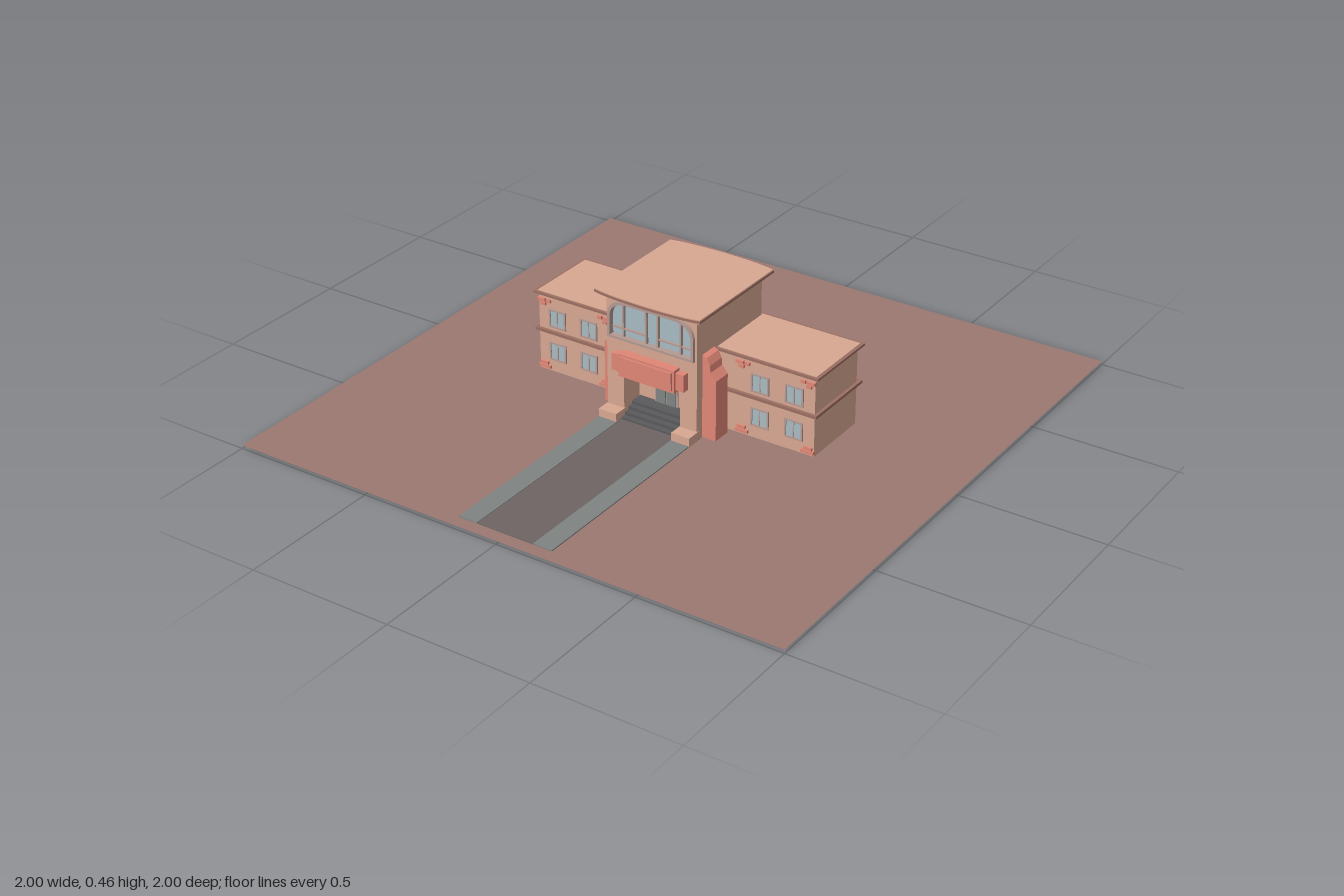
import * as THREE from 'three';

const mat = (color) => new THREE.MeshStandardMaterial({ color });
const M = {
  ground: mat(0x9a7871), wall: mat(0xd8a792), trim: mat(0x9c6f62), red: mat(0xe08676),
  glass: mat(0xa6bac2), frame: mat(0xb49a92), stone: mat(0x7f8482), road: mat(0x6d6463), step: mat(0x5a5a5c),
};

export function createModel() {
  const root = new THREE.Group();

  const add = (name, geo, material, parent = root) => {
    const m = new THREE.Mesh(geo, material);
    m.name = name;
    parent.add(m);
    return m;
  };
  // box given by its min and max on each axis
  const box = (name, x0, x1, y0, y1, z0, z1, material, parent) => {
    const m = add(name, new THREE.BoxGeometry(x1 - x0, y1 - y0, z1 - z0), material, parent);
    m.position.set((x0 + x1) / 2, (y0 + y1) / 2, (z0 + z1) / 2);
    return m;
  };
  // outline in x, y pushed from z0 to z1
  const slab = (name, shape, z0, z1, material, parent) => {
    const geo = new THREE.ExtrudeGeometry(shape, { depth: z1 - z0, bevelEnabled: false, curveSegments: 8 });
    geo.translate(0, 0, z0);
    return add(name, geo, material, parent);
  };
  const outline = (pts) => new THREE.Shape(pts.map(([x, y]) => new THREE.Vector2(x, y)));

  // Ground sheet and entrance path
  const ground = add('ground', new THREE.PlaneGeometry(2, 2).rotateX(-Math.PI / 2), M.ground);
  ground.material.side = THREE.DoubleSide;
  ground.position.y = 0.012;
  box('road', -0.105, 0.105, 0, 0.014, 0.17, 0.955, M.road);
  for (const s of [-1, 1]) {
    const x = s * 0.138;
    box('sidewalk', x - 0.034, x + 0.034, 0, 0.016, 0.17, 0.955, M.stone);
  }

  // Framed window with a cross bar, standing on the wing front
  const wingWindow = (parent, x, y) => {
    const w = new THREE.Group();
    w.name = 'wingWindow';
    w.position.set(x, y, 0.066);
    parent.add(w);
    box('glass', -0.03, 0.03, -0.03, 0.03, -0.002, 0.002, M.glass, w);
    for (const s of [-1, 1]) {
      box('frameSide', s * 0.03 - 0.003, s * 0.03 + 0.003, -0.033, 0.033, -0.002, 0.005, M.frame, w);
      box('frameRail', -0.033, 0.033, s * 0.03 - 0.003, s * 0.03 + 0.003, -0.002, 0.005, M.frame, w);
    }
    box('mullion', -0.002, 0.002, -0.03, 0.03, -0.002, 0.004, M.frame, w);
  };

  // Two wings
  for (const s of [-1, 1]) {
    const wing = new THREE.Group();
    wing.name = s > 0 ? 'leftWing' : 'rightWing';
    root.add(wing);
    const span = (name, a, b, y0, y1, z0, z1, material) =>
      box(name, Math.min(s * a, s * b), Math.max(s * a, s * b), y0, y1, z0, z1, material, wing);
    span('wingWalls', 0, 0.527, 0.01, 0.292, -0.187, 0.066, M.wall);
    span('middleBand', 0, 0.538, 0.154, 0.164, -0.207, 0.077, M.trim);
    span('roofTrim', 0, 0.541, 0.288, 0.296, -0.207, 0.077, M.trim);
    span('wingRoof', 0, 0.531, 0.29, 0.298, -0.197, 0.068, M.wall);
    for (const x of [0.328, 0.453]) for (const y of [0.209, 0.088]) wingWindow(wing, s * x, y);
    // Accent bricks in the corners, mirrored within each wing
    for (const [x, d] of [[0.265, 1], [0.503, -1]]) {
      const a = x - d * 0.025, b = x + d * 0.025;
      const brick = (p, q, y) => span('accentBrick', Math.min(p, q), Math.max(p, q), y, y + 0.011, 0.06, 0.074, M.red);
      brick(a, b - d * 0.004, 0.02);
      brick(a + d * 0.006, b - d * 0.014, 0.033);
      brick(a, a + d * 0.028, 0.264);
      brick(a + d * 0.034, b, 0.264);
      brick(a + d * 0.012, a + d * 0.03, 0.251);
    }
  }

  // Central tower: solid rear, front wall with doorway and arched window opening
  const tower = new THREE.Group();
  tower.name = 'tower';
  root.add(tower);
  box('towerBody', -0.17, 0.17, 0.01, 0.437, -0.187, 0.1, M.wall, tower);
  const archPath = (p, w, y0, y1, r) => {
    p.moveTo(-w, y0);
    p.lineTo(w, y0);
    p.lineTo(w, y1 - r);
    p.quadraticCurveTo(w, y1 - r * 0.1, w - r, y1);
    p.lineTo(-w + r, y1);
    p.quadraticCurveTo(-w, y1 - r * 0.1, -w, y1 - r);
    p.lineTo(-w, y0);
    return p;
  };
  const face = outline([[-0.17, 0.01], [-0.107, 0.01], [-0.107, 0.19], [0.107, 0.19],
    [0.107, 0.01], [0.17, 0.01], [0.17, 0.437], [-0.17, 0.437]]);
  face.holes.push(archPath(new THREE.Path(), 0.155, 0.298, 0.42, 0.06));
  slab('towerFront', face, 0.1, 0.186, M.wall, tower);

  // Arched window
  slab('archGlass', archPath(new THREE.Shape(), 0.156, 0.296, 0.421, 0.06), 0.16, 0.176, M.glass, tower);
  const rim = archPath(new THREE.Shape(), 0.163, 0.292, 0.427, 0.064);
  rim.holes.push(archPath(new THREE.Path(), 0.153, 0.3, 0.418, 0.058));
  slab('archFrame', rim, 0.17, 0.196, M.frame, tower);
  for (const x of [-0.108, -0.022, 0.022, 0.108])
    box('archMullion', x - 0.003, x + 0.003, 0.298, 0.42, 0.17, 0.186, M.frame, tower);
  for (const s of [-1, 1])
    box('archCrossbar', s * 0.086 - 0.064, s * 0.086 + 0.064, 0.325, 0.33, 0.17, 0.184, M.frame, tower);

  // Tower roof with bowed front and back edges
  const roofLayer = (name, w, z, bow, y0, y1, material) => {
    const s = new THREE.Shape();
    s.moveTo(-w, -z);
    s.bezierCurveTo(-w * 0.6, -z - bow, w * 0.6, -z - bow, w, -z);
    s.lineTo(w, z);
    s.bezierCurveTo(w * 0.6, z + bow, -w * 0.6, z + bow, -w, z);
    const geo = new THREE.ExtrudeGeometry(s, { depth: y1 - y0, bevelEnabled: false, curveSegments: 12 });
    geo.rotateX(-Math.PI / 2);
    add(name, geo, material, tower).position.y = y0;
  };
  roofLayer('roofCornice', 0.182, 0.192, 0.016, 0.43, 0.447, M.wall);
  roofLayer('roofEdge', 0.199, 0.212, 0.022, 0.446, 0.454, M.trim);
  roofLayer('roofTop', 0.197, 0.21, 0.022, 0.453, 0.457, M.wall);

  // Entrance: double door, steps and pedestals
  const entrance = new THREE.Group();
  entrance.name = 'entrance';
  root.add(entrance);
  box('doorFrame', -0.044, 0.044, 0.05, 0.17, 0.098, 0.105, M.frame, entrance);
  for (const s of [-1, 1]) {
    box('doorLeaf', s * 0.02 - 0.018, s * 0.02 + 0.018, 0.052, 0.164, 0.1, 0.108, M.stone, entrance);
    const knob = add('doorKnob', new THREE.SphereGeometry(0.004, 10, 8), M.step, entrance);
    knob.position.set(s * 0.005, 0.118, 0.11);
    box('pedestal', s * 0.139 - 0.034, s * 0.139 + 0.034, 0.01, 0.044, 0.18, 0.234, M.wall, entrance);
  }
  for (let i = 0; i < 4; i++)
    box('step', -0.105, 0.105, 0.004, 0.02 + i * 0.011, 0.1, 0.206 - i * 0.02, M.step, entrance);

  // Blank sign board with end pieces
  box('signBoard', -0.106, 0.106, 0.176, 0.256, 0.184, 0.218, M.red, root);
  box('signPanel', -0.098, 0.098, 0.184, 0.248, 0.216, 0.224, M.red, root);
  for (const s of [-1, 1])
    box('signEnd', s * 0.12 - 0.017, s * 0.12 + 0.017, 0.186, 0.246, 0.184, 0.21, M.red, root);

  // Stepped buttresses beside the tower
  for (const s of [-1, 1]) {
    const shape = outline([[0.165, 0.01], [0.221, 0.01], [0.221, 0.225], [0.2, 0.25], [0.198, 0.275], [0.186, 0.298],
      [0.165, 0.308]].map(([x, y]) => [s * x, y]));
    const dz = s > 0 ? 0 : -0.025;
    slab('buttress', shape, 0.088 + dz, 0.155 + dz, M.red);
  }

  return root;
}
